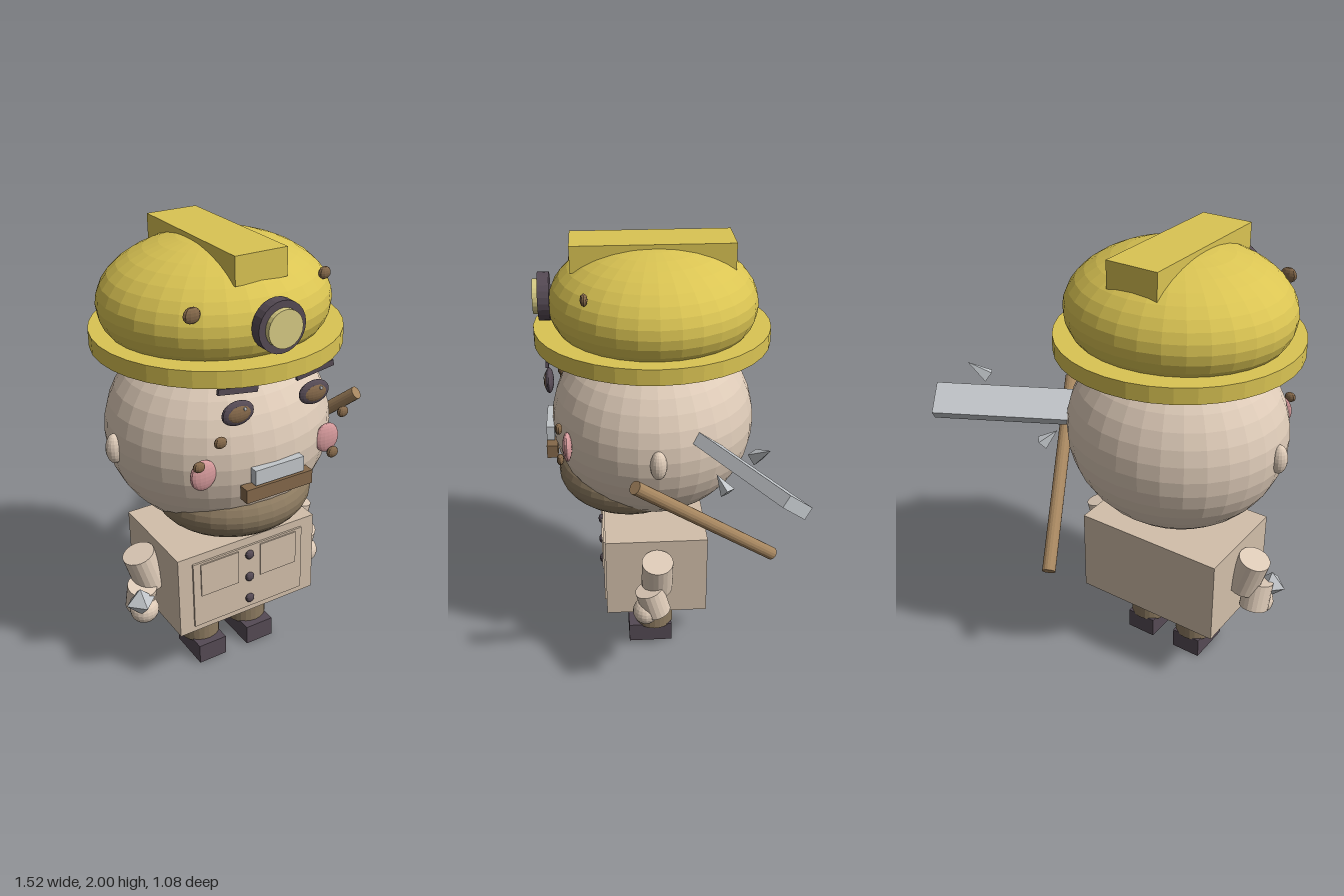
import * as THREE from 'three';

const CX = -0.226; // the figure's own centre line
const CZ = 0.02;

export function createModel() {
  const model = new THREE.Group();
  model.name = 'miner';

  const colour = (name, color) => {
    const m = new THREE.MeshStandardMaterial({ color, flatShading: true });
    m.name = name;
    return m;
  };
  const yellow = colour('helmet yellow', 0xdac453);
  const skin = colour('skin', 0xdecbb8);
  const cloth = colour('coat cloth', 0xd2bfaa);
  const brown = colour('trouser brown', 0x8c7a60);
  const umber = colour('umber', 0x84684a);
  const dark = colour('dark leather', 0x554a54);
  const pink = colour('cheek pink', 0xd69a9c);
  const steel = colour('steel', 0xc2c6ca);
  const wood = colour('wood', 0xa5855f);
  const glass = colour('lamp glass', 0xd6ca84);

  const add = (name, geometry, material, x, y, z) => {
    const mesh = new THREE.Mesh(geometry, material);
    mesh.name = name;
    mesh.position.set(x, y, z);
    model.add(mesh);
    return mesh;
  };
  const box = (name, mat, w, h, d, x, y, z) =>
    add(name, new THREE.BoxGeometry(w, h, d), mat, x, y, z);
  const ball = (name, mat, rx, ry, rz, x, y, z, ws = 32, hs = 20) =>
    add(name, new THREE.SphereGeometry(1, ws, hs).scale(rx, ry, rz), mat, x, y, z);
  const tube = (name, mat, r, h, x, y, z, sides = 24) =>
    add(name, new THREE.CylinderGeometry(r, r, h, sides), mat, x, y, z);
  const up = new THREE.Vector3(0, 1, 0);
  // Points a mesh's y axis from one point to another
  const aim = (mesh, from, to) => {
    mesh.position.copy(from).lerp(to, 0.5);
    mesh.quaternion.setFromUnitVectors(up, to.clone().sub(from).normalize());
    return mesh;
  };
  const v = (x, y, z) => new THREE.Vector3(x, y, z);

  // Head and beard
  ball('head', skin, 0.49, 0.44, 0.46, CX, 1.17, CZ);
  ball('beard', brown, 0.345, 0.175, 0.33, CX, 0.902, 0.132);

  // Helmet with brim, ridge and lamp
  ball('helmetDome', yellow, 0.485, 0.268, 0.458, CX, 1.722, CZ - 0.005);
  tube('helmetBrim', yellow, 0.522, 0.07, CX + 0.002, 1.585, CZ, 36);
  box('helmetRidge', yellow, 0.23, 0.115, 0.7, CX, 1.9425, CZ);
  tube('lampHousing', dark, 0.104, 0.05, CX, 1.75, 0.487).rotation.x = Math.PI / 2;
  tube('lampGlass', glass, 0.076, 0.06, CX, 1.75, 0.505).rotation.x = Math.PI / 2;

  // Parts mirrored about the centre line
  for (const s of [-1, 1]) {
    const side = s > 0 ? 'left' : 'right';
    const x = (d) => CX + s * d;

    // Face
    ball(side + 'Ear', skin, 0.037, 0.066, 0.036, x(0.49), 1.167, 0.024, 16, 12);
    ball(side + 'EyeRim', dark, 0.071, 0.051, 0.02, x(0.175), 1.432, 0.476, 20, 12);
    ball(side + 'Eye', umber, 0.056, 0.039, 0.018, x(0.175), 1.432, 0.482, 16, 10);
    ball(side + 'EyeGlint', steel, 0.008, 0.008, 0.005, x(0.175) + 0.02, 1.452, 0.496, 8, 6);
    box(side + 'Brow', dark, 0.175, 0.024, 0.013, x(0.175), 1.527, 0.477).rotation.z = s * 0.15;
    ball(side + 'Cheek', pink, 0.058, 0.066, 0.021, x(0.295), 1.167, 0.41, 16, 12);

    // Arm
    tube(side + 'UpperArm', skin, 0.072, 0.176, x(0.393), 0.54, 0.024, 20).rotation.z = -s * 0.29;
    tube(side + 'Forearm', skin, 0.066, 0.13, x(0.427), 0.42, 0.047, 20).rotation.x = 0.28;
    ball(side + 'Hand', skin, 0.065, 0.062, 0.06, x(0.43), 0.365, 0.08, 18, 12);

    // Leg
    tube(side + 'Leg', brown, 0.0925, 0.2, x(0.128), 0.188, 0.025);
    box(side + 'Boot', dark, 0.14, 0.095, 0.21, x(0.128), 0.0475, 0.046);

    // Coat pocket
    box(side + 'Pocket', cloth, 0.188, 0.162, 0.008, x(0.15), 0.56, 0.27);
  }

  // Mouth
  box('teeth', steel, 0.228, 0.066, 0.036, CX, 1.142, 0.488);
  box('lip', umber, 0.312, 0.06, 0.05, CX, 1.07, 0.482);

  // Dirt spots
  const spots = [
    [-0.526, 1.812, 0.37, 0.037], [0.103, 1.845, 0.313, 0.029],
    [-0.458, 1.305, 0.44, 0.028], [-0.553, 1.225, 0.437, 0.026],
    [0.124, 1.284, 0.44, 0.027], [0.077, 1.11, 0.442, 0.028],
  ];
  for (const [x, y, z, r] of spots) ball('dirtSpot', umber, r, r * 0.88, 0.016, x, y, z, 10, 8);

  // Coat
  box('coat', cloth, 0.694, 0.394, 0.47, CX, 0.492, 0.024);
  box('coatFront', cloth, 0.558, 0.325, 0.016, CX, 0.488, 0.26);
  for (const y of [0.607, 0.49, 0.374])
    ball('button', dark, 0.022, 0.022, 0.014, CX, y, 0.273, 12, 8);

  // Pickaxe: wooden handle and steel bar
  const gripA = v(0.438, 1.168, 0.132);
  const gripB = v(0.087, 0.578, -0.517);
  const length = gripA.distanceTo(gripB);
  aim(tube('pickHandle', wood, 0.03, length, 0, 0, 0, 16), gripB, gripA);
  const along = v(0.88, 0, -0.475).normalize();
  const across = gripA.clone().sub(gripB).normalize();
  const thick = along.clone().cross(across).normalize();
  across.copy(thick).cross(along);
  const bar = box('pickBar', steel, 0.61, 0.147, 0.055, 0.455, 1.223, -0.33);
  bar.quaternion.setFromRotationMatrix(new THREE.Matrix4().makeBasis(along, across, thick));

  // Loose steel shards and the ore held in the right hand
  const shard = (from, to, r) =>
    aim(add('shard', new THREE.ConeGeometry(r, from.distanceTo(to), 4), steel, 0, 0, 0), from, to);
  shard(v(0.527, 1.34, -0.335), v(0.6, 1.405, -0.382), 0.034);
  shard(v(0.3, 1.045, -0.268), v(0.245, 1.105, -0.225), 0.034);
  add('ore', new THREE.OctahedronGeometry(0.067), steel, -0.69, 0.443, 0.12);

  return model;
}
